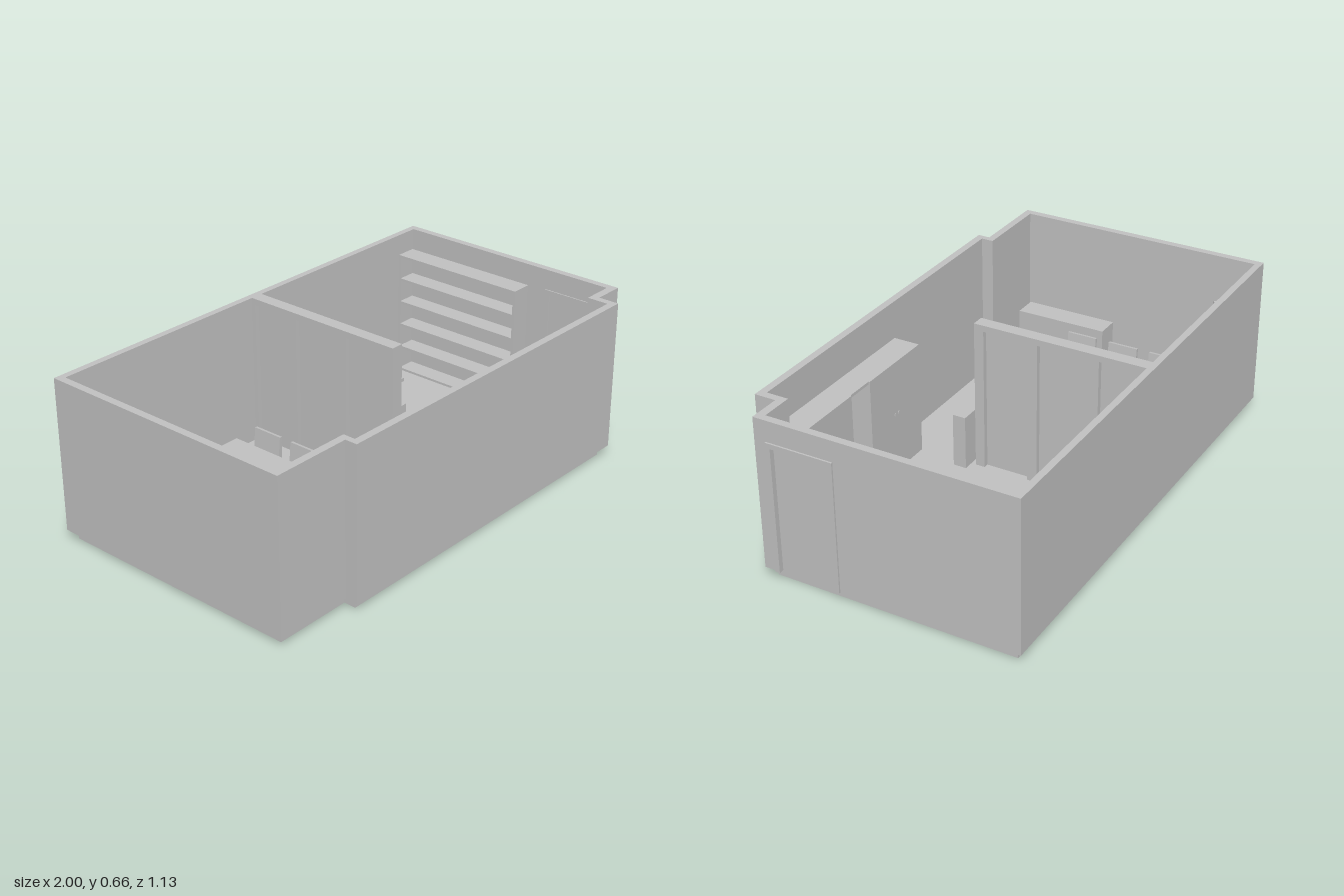
import * as THREE from 'three';

const plaster = new THREE.MeshStandardMaterial({ color: 0xc0c0c0 });
plaster.name = 'light grey';
const FLOOR = 0.04;

// Box given by its limits on each axis
function box(parent, name, x0, x1, y0, y1, z0, z1) {
  const mesh = new THREE.Mesh(new THREE.BoxGeometry(x1 - x0, y1 - y0, z1 - z0), plaster);
  mesh.position.set((x0 + x1) / 2, (y0 + y1) / 2, (z0 + z1) / 2);
  mesh.name = name;
  parent.add(mesh);
  return mesh;
}

// Upright prism over a floor plan of [x, z] points
function prism(parent, name, plan, y0, y1) {
  const shape = new THREE.Shape(plan.map(([x, z]) => new THREE.Vector2(x, -z)));
  const geo = new THREE.ExtrudeGeometry(shape, { depth: y1 - y0, bevelEnabled: false });
  geo.rotateX(-Math.PI / 2);
  const mesh = new THREE.Mesh(geo, plaster);
  mesh.position.y = y0;
  mesh.name = name;
  parent.add(mesh);
}

function group(parent, name) {
  const g = new THREE.Group();
  g.name = name;
  parent.add(g);
  return g;
}

// Table top with four corner legs
function table(parent, name, x0, x1, z0, z1, top) {
  const g = group(parent, name);
  box(g, 'tableTop', x0, x1, top - 0.015, top, z0, z1);
  const t = 0.02, m = 0.015;
  for (const x of [x0 + m, x1 - m - t])
    for (const z of [z0 + m, z1 - m - t])
      box(g, 'tableLeg', x, x + t, FLOOR, top - 0.015, z, z + t);
}

// Chair facing +z in its own frame, with its back at z = 0
function chair(parent, x, z, angle) {
  const g = group(parent, 'chair');
  prism(g, 'seat', [[-0.055, 0.01], [0.055, 0.01], [0.07, 0.12], [-0.07, 0.12]], 0.1, 0.113);
  for (const s of [-1, 1]) {
    box(g, 'backPost', s * 0.056 - 0.005, s * 0.056 + 0.005, 0, 0.215, 0.002, 0.014);
    box(g, 'frontLeg', s * 0.056 - 0.005, s * 0.056 + 0.005, 0, 0.1, 0.105, 0.117);
  }
  const back = box(g, 'backRest', -0.065, 0.065, 0.135, 0.22, 0.008, 0.02);
  back.rotation.x = -0.1;
  g.position.set(x, FLOOR, z);
  g.rotation.y = angle;
}

export function createModel() {
  const model = new THREE.Group();
  model.name = 'apartment';

  // Floor slab and outer walls, left open at the door
  const inner = [[0.96, -0.54], [-0.97, -0.54], [-0.97, 0.485], [-0.65, 0.485],
    [-0.65, 0.535], [0.83, 0.535], [0.83, 0.445], [0.96, 0.445]];
  const outer = [[0.99, 0.43], [0.99, 0.478], [0.86, 0.478], [0.86, 0.565], [-0.675, 0.565],
    [-0.675, 0.515], [-1, 0.515], [-1, -0.567], [0.99, -0.567], [0.99, 0.155]];
  prism(model, 'floor', inner, 0, FLOOR);
  prism(model, 'outerWalls', [...outer, [0.96, 0.155], ...inner, [0.96, 0.43]], FLOOR, 0.66);
  box(model, 'doorLintel', 0.96, 0.99, 0.57, 0.66, 0.155, 0.43);

  // Entrance door
  const door = group(model, 'entranceDoor');
  box(door, 'frameSide', 0.955, 0.997, FLOOR, 0.575, 0.155, 0.175);
  box(door, 'frameSide', 0.955, 0.997, FLOOR, 0.575, 0.41, 0.43);
  box(door, 'frameTop', 0.955, 0.997, 0.555, 0.575, 0.175, 0.41);
  box(door, 'doorLeaf', 0.966, 0.976, FLOOR, 0.555, 0.175, 0.41);

  // Partition with posts, rails and three sunken panels
  const partition = group(model, 'partition');
  for (const [z0, z1] of [[0.135, 0.175], [-0.095, -0.055], [-0.35, -0.31], [-0.54, -0.525]])
    box(partition, 'post', -0.028, 0.025, FLOOR, 0.66, z0, z1);
  box(partition, 'topRail', -0.028, 0.025, 0.635, 0.66, -0.54, 0.175);
  box(partition, 'panels', -0.006, 0.004, FLOOR, 0.635, -0.53, 0.14);
  box(model, 'smallCabinet', -0.028, 0.068, FLOOR, 0.265, 0.195, 0.25);

  // Dining table and chairs
  table(model, 'diningTable', -0.71, -0.315, -0.36, 0.235, 0.22);
  for (const z of [-0.25, -0.065, 0.125]) {
    chair(model, -0.785, z, Math.PI / 2);
    chair(model, -0.243, z, -Math.PI / 2);
  }
  chair(model, -0.513, -0.43, 0);
  chair(model, -0.513, 0.3, Math.PI);

  // Turned tall cabinet in the corner, and a sideboard
  const tall = box(model, 'tallCabinet', -0.936, -0.818, FLOOR, 0.49, -0.506, -0.426);
  tall.rotation.y = 0.55;
  box(model, 'sideboard', -0.96, -0.86, FLOOR, 0.25, 0.075, 0.475);

  // Desk and bench
  table(model, 'desk', 0.193, 0.507, -0.515, -0.21, 0.225);
  for (const x of [0.245, 0.455]) box(model, 'deskFoot', x - 0.01, x + 0.01, FLOOR, 0.2, -0.522, -0.5);
  box(model, 'bench', 0.25, 0.447, FLOOR, 0.15, -0.203, -0.148);

  // Wardrobe with an open niche between two cabinets
  const wardrobe = group(model, 'wardrobe');
  for (const [x0, x1] of [[0.03, 0.37], [0.49, 0.825]]) {
    box(wardrobe, 'wardrobeCabinet', x0, x1, FLOOR, 0.51, 0.42, 0.53);
    const mid = (x0 + x1) / 2;
    for (const s of [-0.012, 0.012])
      box(wardrobe, 'knob', mid + s - 0.003, mid + s + 0.003, 0.285, 0.295, 0.416, 0.42);
  }
  box(wardrobe, 'nicheTop', 0.37, 0.49, 0.498, 0.51, 0.425, 0.53);
  box(wardrobe, 'nicheBack', 0.37, 0.49, FLOOR, 0.498, 0.523, 0.53);

  // Open bookcase on the right wall
  const bookcase = group(model, 'bookcase');
  box(bookcase, 'bookcaseBack', 0.933, 0.943, FLOOR, 0.577, -0.53, 0.08);
  for (const z of [-0.53, 0.07]) box(bookcase, 'bookcaseSide', 0.853, 0.933, FLOOR, 0.577, z, z + 0.01);
  for (let i = 0; i <= 5; i++) {
    const y = 0.042 + i * 0.105;
    box(bookcase, 'shelf', 0.853, 0.933, y, y + 0.01, -0.52, 0.07);
  }
  return model;
}
